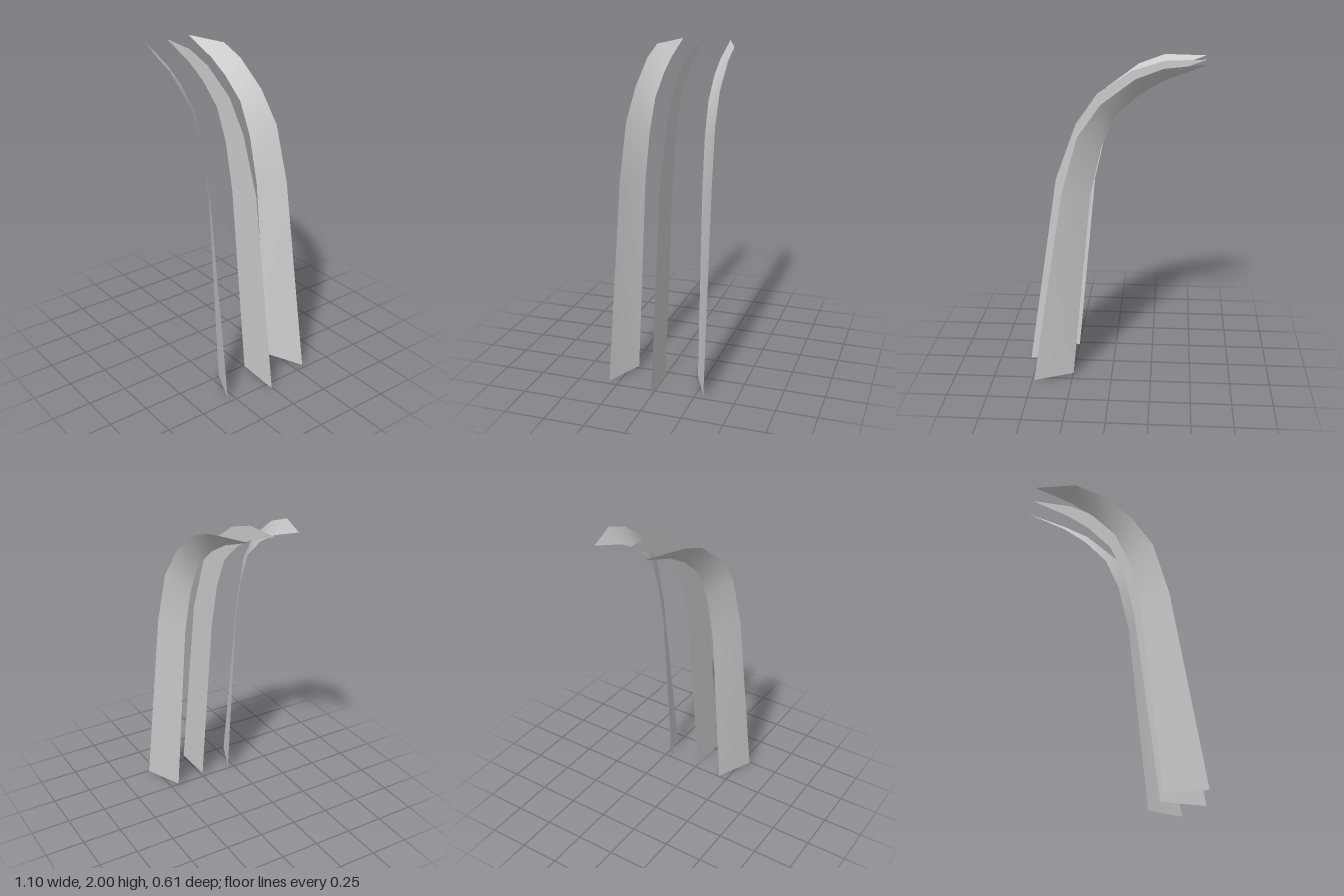
import * as THREE from 'three';

// Matching points [x, y, z] from the foot up to the pointed tip
const INNER = [
  [0.245, 0.01, 0.197], [0.13, 1.21, 0.182], [0.063, 1.505, 0.175], [-0.025, 1.70, 0.169],
  [-0.17, 1.83, 0.162], [-0.31, 1.91, 0.16], [-0.55, 2, 0.159],
];
const OUTER = [
  [0.485, 0.01, 0.304], [0.29, 1.25, 0.286], [0.195, 1.59, 0.275], [0.06, 1.78, 0.263],
  [-0.14, 1.93, 0.257], [-0.30, 1.99, 0.252],
];
// The middle blade is flat and a little wider
const MID_INNER = INNER.map(([x, y], i) => [i ? x : 0.272, y, 0.007]);
const MID_OUTER = [
  [0.55, 0], [0.36, 1.25], [0.232, 1.6], [0.10, 1.79], [-0.112, 1.93], [-0.30, 1.99],
].map(([x, y]) => [x, y, 0.007]);

const mirrorZ = (edge) => edge.map(([x, y, z]) => [x, y, -z]);

// Strip of quads between two edges, closed by a triangle at the tip
function blade(name, inner, outer, material) {
  const n = outer.length;
  const index = [];
  for (let i = 0; i < n - 1; i++) {
    const a = i, b = i + 1, c = n + 1 + i, d = c + 1;
    index.push(a, c, d, a, d, b);
  }
  index.push(n - 1, 2 * n, n);
  const geometry = new THREE.BufferGeometry();
  geometry.setAttribute('position', new THREE.Float32BufferAttribute([...inner, ...outer].flat(), 3));
  geometry.setIndex(index);
  geometry.computeVertexNormals();
  const mesh = new THREE.Mesh(geometry, material);
  mesh.name = name;
  return mesh;
}

export function createModel() {
  const group = new THREE.Group();
  group.name = 'curvedBlades';
  const grey = new THREE.MeshStandardMaterial({ color: 0xcccccc, side: THREE.DoubleSide });
  grey.name = 'light grey';
  group.add(
    blade('frontBlade', INNER, OUTER, grey),
    blade('middleBlade', MID_INNER, MID_OUTER, grey),
    blade('backBlade', mirrorZ(INNER), mirrorZ(OUTER), grey),
  );
  return group;
}
